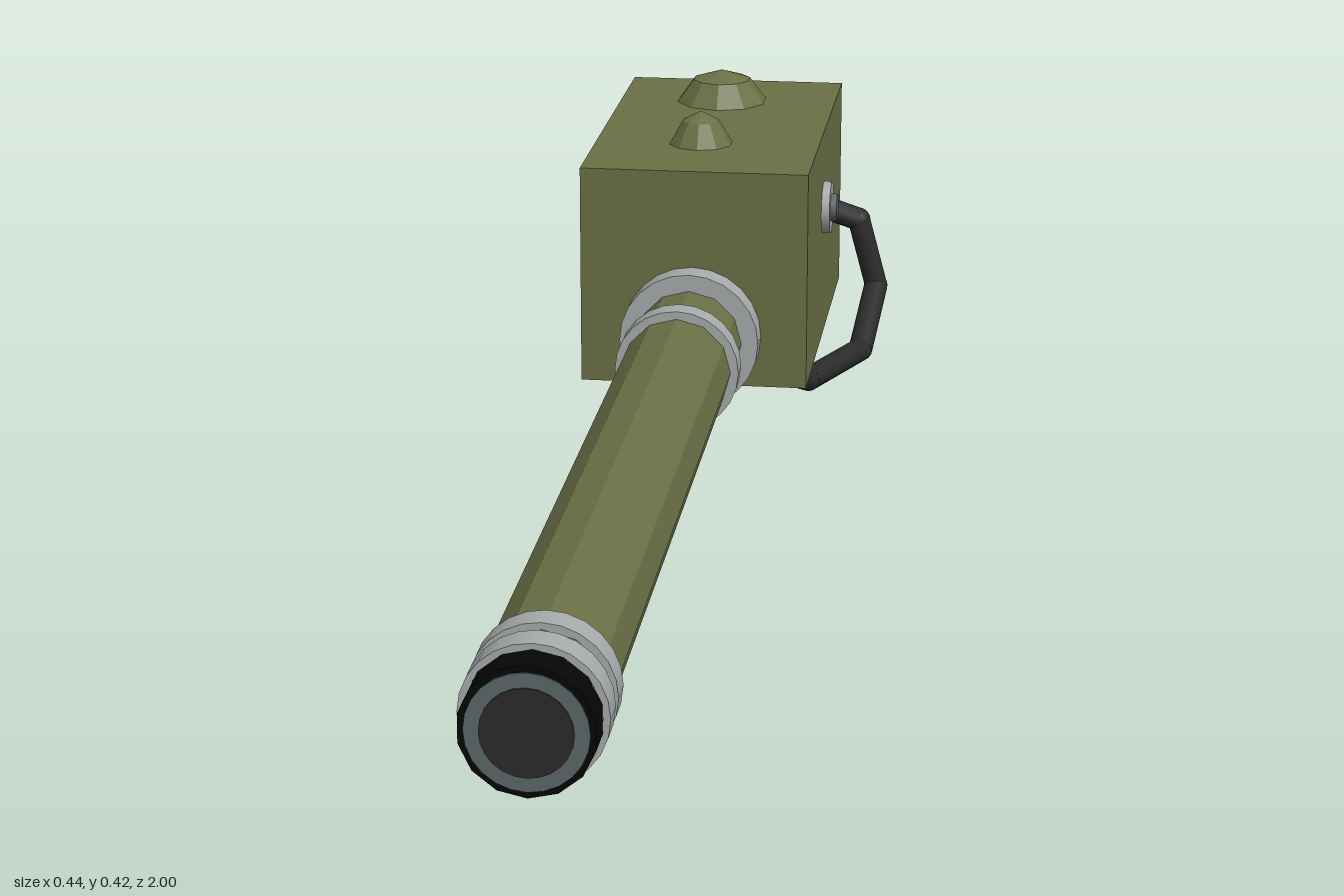
import * as THREE from 'three';

export function createModel() {
  const model = new THREE.Group();
  model.name = 'tubeWithHousing';

  const makeMaterial = (name, color, flat = false) => {
    const m = new THREE.MeshStandardMaterial({ color, flatShading: flat });
    m.name = name;
    return m;
  };
  const olive = makeMaterial('olive', 0x6b7046, true);
  const silver = makeMaterial('silver', 0xa6abab);
  const steel = makeMaterial('steel', 0x5c6868);
  const black = makeMaterial('black', 0x060606);
  const rubber = makeMaterial('rubber', 0x2b2b2c);

  const add = (name, geometry, material, x = 0, y = 0, z = 0) => {
    const mesh = new THREE.Mesh(geometry, material);
    mesh.name = name;
    mesh.position.set(x, y, z);
    model.add(mesh);
    return mesh;
  };

  // Housing
  add('housing', new THREE.BoxGeometry(0.328, 0.318, 0.57), olive, -0.033, 0.21, -0.715);

  // Parts turned around the barrel axis, from z0 to z1
  const AX = -0.035, AY = 0.127;
  const turned = (name, r, z0, z1, sides, material) => {
    const g = new THREE.CylinderGeometry(r, r, z1 - z0, sides);
    g.rotateX(Math.PI / 2);
    return add(name, g, material, AX, AY, (z0 + z1) / 2);
  };
  turned('barrel', 0.076, -0.44, 0.955, 12, olive);
  turned('barrelCollar', 0.1, -0.43, -0.39, 24, silver);
  turned('barrelBand', 0.087, -0.29, -0.254, 24, silver);
  turned('rearMuzzleBand', 0.084, 0.856, 0.893, 24, silver);
  turned('frontMuzzleBand', 0.084, 0.914, 0.952, 24, silver);
  turned('muzzle', 0.077, 0.95, 0.996, 14, black);
  turned('muzzleRim', 0.069, 0.99, 0.998, 24, steel);
  turned('lens', 0.052, 0.992, 1.0, 24, rubber);

  // Faceted domes on the housing roof
  const dome = (name, r, ri, z) => {
    const profile = [[r, 0], [ri, 0.034], [0, 0.048]].map(p => new THREE.Vector2(...p));
    add(name, new THREE.LatheGeometry(profile, 10), olive, -0.043, 0.369, z);
  };
  dome('rearDome', 0.069, 0.044, -0.865);
  dome('frontDome', 0.047, 0.027, -0.597);

  // Knobs on both sides
  for (const [side, s, x] of [['left', 1, 0.131], ['right', -1, -0.197]]) {
    const knob = (name, r, depth, sides, material) => {
      const g = new THREE.CylinderGeometry(r, r, depth, sides);
      g.rotateZ(Math.PI / 2);
      add(side + name, g, material, x + s * depth / 2, 0.252, -0.69);
    };
    knob('KnobPlate', 0.039, 0.012, 16, silver);
    knob('KnobCap', 0.021, 0.021, 12, steel);
  }

  // Bent cable from the side of the housing to its underside
  const cable = new THREE.Group();
  cable.name = 'cable';
  const path = [
    [0.115, 0.212, -0.84], [0.172, 0.188, -0.858], [0.2, 0.083, -0.86],
    [0.187, 0.018, -0.73], [0.122, 0.018, -0.575], [0.05, 0.07, -0.48],
  ].map(p => new THREE.Vector3(...p));
  const up = new THREE.Vector3(0, 1, 0);
  for (let i = 0; i < path.length - 1; i++) {
    const dir = path[i + 1].clone().sub(path[i]);
    const piece = new THREE.Mesh(new THREE.CylinderGeometry(0.018, 0.018, dir.length(), 10), rubber);
    piece.name = 'cableSection';
    piece.position.copy(path[i]).addScaledVector(dir, 0.5);
    piece.quaternion.setFromUnitVectors(up, dir.normalize());
    cable.add(piece);
    if (i > 0) {
      const joint = new THREE.Mesh(new THREE.SphereGeometry(0.018, 10, 8), rubber);
      joint.name = 'cableJoint';
      joint.position.copy(path[i]);
      cable.add(joint);
    }
  }
  model.add(cable);

  return model;
}
